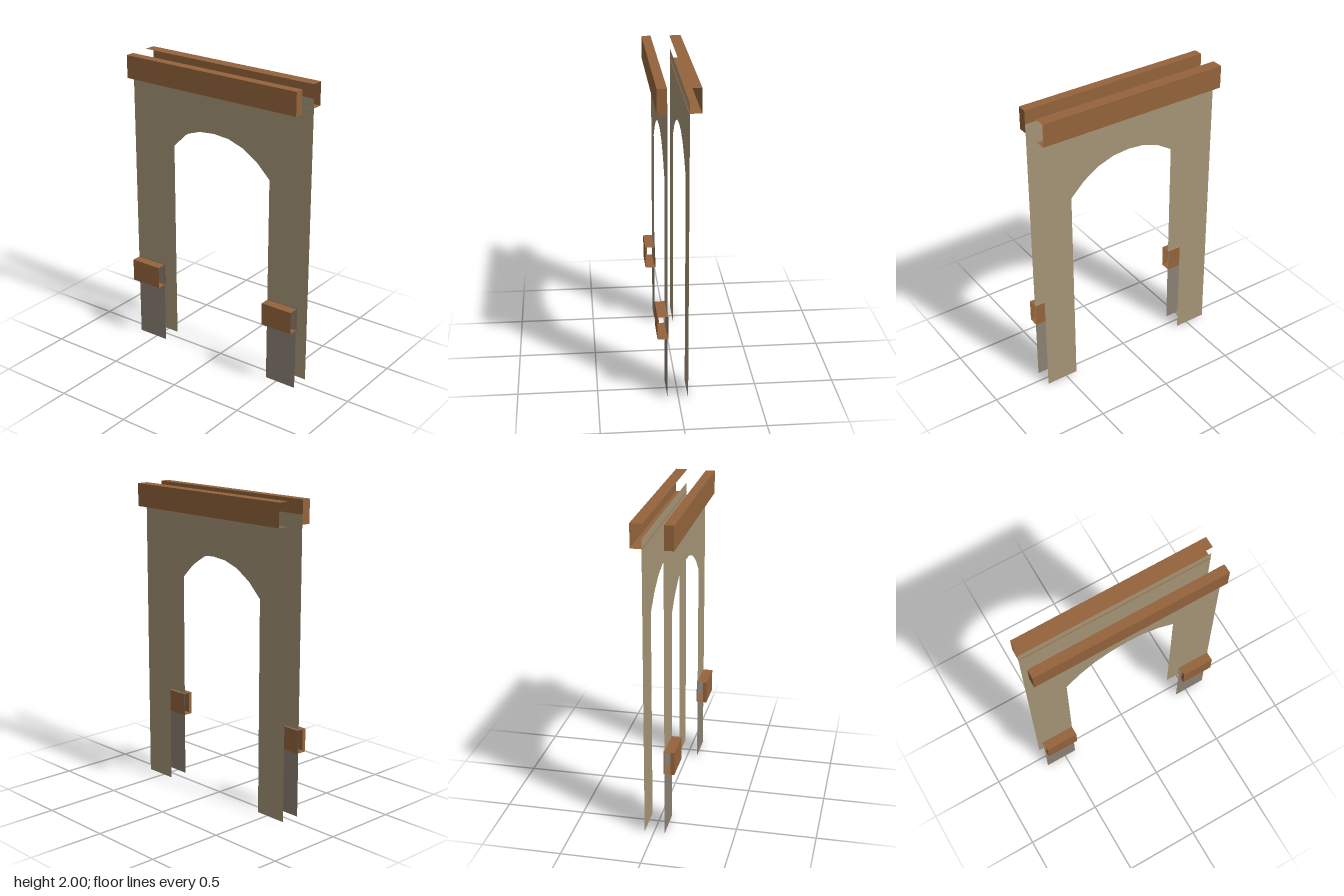
import * as THREE from 'three';

const material = (name, color) => {
  const m = new THREE.MeshStandardMaterial({ color, side: THREE.DoubleSide });
  m.name = name;
  return m;
};

export function createModel() {
  const group = new THREE.Group();
  const plaster = material('tan plaster', 0xa59577);
  const wood = material('brown wood', 0x94643c);
  const stone = material('grey stone', 0x8b8074);
  const W = 0.64, INNER = 0.42;

  const add = (name, geometry, mat, x, y, z, parent = group) => {
    const mesh = new THREE.Mesh(geometry, mat);
    mesh.name = name;
    mesh.position.set(x, y, z);
    parent.add(mesh);
    return mesh;
  };

  // Single-sheet wall with a segmental arch opening, from y = base upwards
  const wall = (name, base, z) => {
    const top = 1.91;
    const half = [[0.42, 1.385], [0.325, 1.478], [0.22, 1.545], [0.11, 1.582]];
    const arch = [...half, [0, 1.592], ...half.map(([x, y]) => [-x, y]).reverse()];
    const outline = [[W, base], [W, top], [-W, top], [-W, base], [-INNER, base],
      ...arch.reverse(), [INNER, base]];
    const shape = new THREE.Shape(outline.map(([x, y]) => new THREE.Vector2(x, y)));
    add(name, new THREE.ShapeGeometry(shape), plaster, 0, 0, z);
  };
  wall('frontWall', 0.575, 0.068);
  wall('backWall', 0, -0.06);

  // Hollow channel running along x, open at both ends
  const channel = (name, x0, x1, y0, y1, outerZ, innerZ, closedInside) => {
    const part = new THREE.Group();
    part.name = name;
    const w = x1 - x0, h = y1 - y0, d = Math.abs(outerZ - innerZ);
    const cx = (x0 + x1) / 2, cy = (y0 + y1) / 2, cz = (outerZ + innerZ) / 2;
    const face = add('face', new THREE.PlaneGeometry(w, h), wood, cx, cy, outerZ, part);
    if (outerZ < 0) face.rotation.y = Math.PI;
    add('top', new THREE.PlaneGeometry(w, d), wood, cx, y1, cz, part).rotation.x = -Math.PI / 2;
    add('bottom', new THREE.PlaneGeometry(w, d), wood, cx, y0, cz, part).rotation.x = Math.PI / 2;
    if (closedInside) {
      add('inside', new THREE.PlaneGeometry(w, h), wood, cx, cy, innerZ, part).rotation.y = Math.PI;
    }
    group.add(part);
    return part;
  };

  // Top beams
  add('frontBeam', new THREE.BoxGeometry(2 * W, 0.15, 0.06), wood, 0, 1.925, 0.1);
  channel('backBeam', -W, W, 1.85, 2, -0.13, -0.055, false);

  // Stone legs with wooden bands
  for (const side of [-1, 1]) {
    const x = side * (W + INNER) / 2, w = W - INNER;
    add('stoneLeg', new THREE.PlaneGeometry(w, 0.575), stone, x, 0.2875, 0.068);
    add('legLedge', new THREE.PlaneGeometry(w, 0.006), plaster, x, 0.575, 0.065)
      .rotation.x = -Math.PI / 2;
    const band = channel('legBand', x - w / 2, x + w / 2, 0.42, 0.57, 0.13, 0.062, true);
    // Narrow return at one end of the band
    add('bandReturn', new THREE.PlaneGeometry(0.025, 0.15), wood, x - w / 2, 0.495, 0.1175, band)
      .rotation.y = -Math.PI / 2;
  }
  return group;
}
